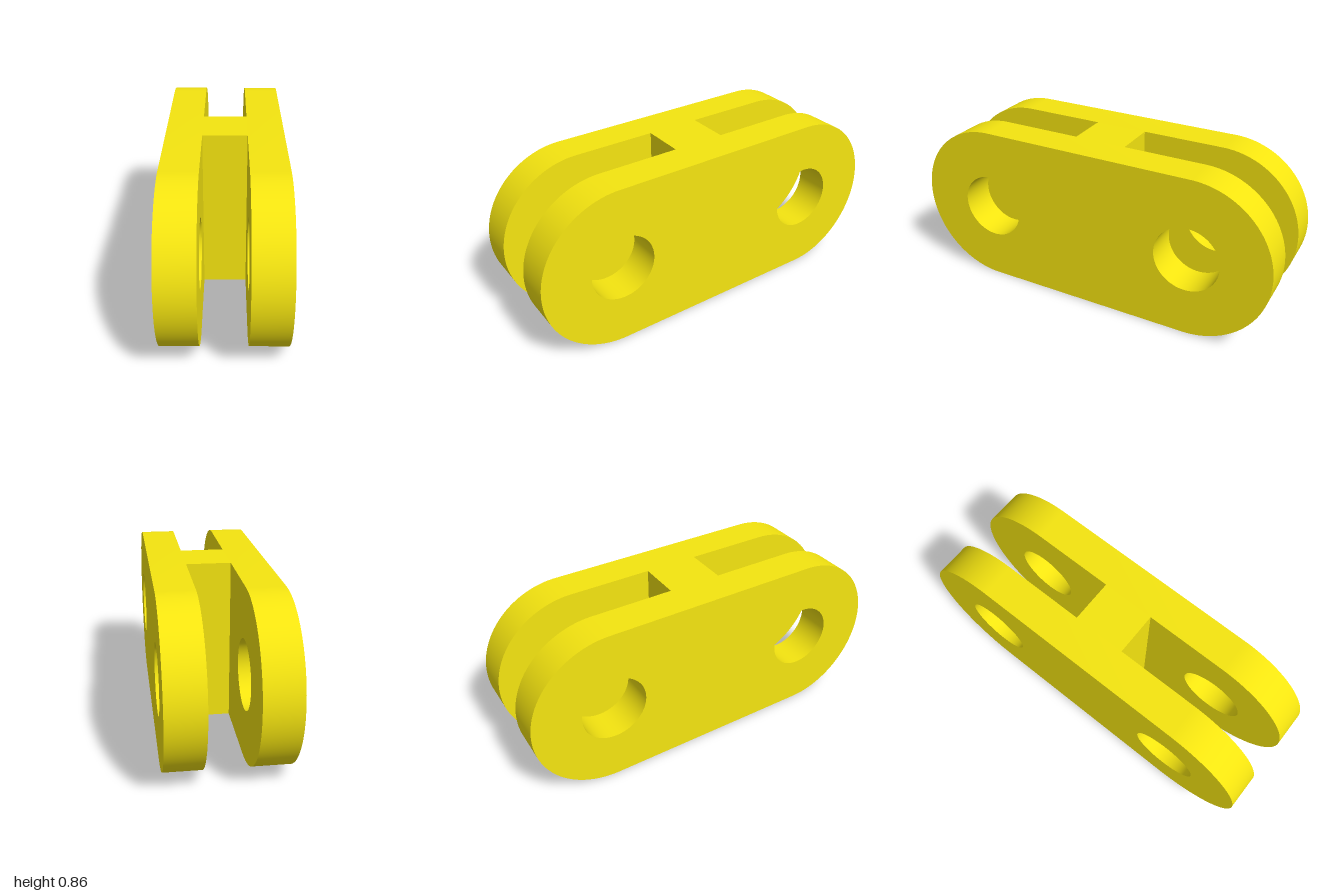
import * as THREE from 'three';
import { toCreasedNormals } from 'three/addons/utils/BufferGeometryUtils.js';

const RADIUS = 0.4285;      // rounded plate ends; plate height is twice this
const END_Z = 1 - RADIUS;   // centre of each rounded end
const HOLE_RADIUS = 0.173;
const INNER_X = 0.114;      // inner face of each side plate
const OUTER_X = 0.3;        // outer face of each side plate
const WEB_DEPTH = 0.28;

export function createModel() {
  const group = new THREE.Group();
  group.name = 'doubleClevisLink';
  const material = new THREE.MeshStandardMaterial({ color: 0xf5e510 });

  // Stadium outline with a pin hole concentric with each end
  const outline = new THREE.Shape();
  outline.absarc(END_Z, RADIUS, RADIUS, -Math.PI / 2, Math.PI / 2, false);
  outline.absarc(-END_Z, RADIUS, RADIUS, Math.PI / 2, Math.PI * 1.5, false);
  outline.closePath();
  for (const side of [-1, 1]) {
    const hole = new THREE.Path();
    hole.absarc(side * END_Z, RADIUS, HOLE_RADIUS, 0, Math.PI * 2, true);
    outline.holes.push(hole);
  }

  // Two side plates, extruded across x
  const extruded = new THREE.ExtrudeGeometry(outline, {
    depth: OUTER_X - INNER_X, bevelEnabled: false, curveSegments: 48,
  });
  extruded.rotateY(Math.PI / 2);
  const plateGeometry = toCreasedNormals(extruded, Math.PI / 6);
  for (const [name, x] of [['leftPlate', INNER_X], ['rightPlate', -OUTER_X]]) {
    const plate = new THREE.Mesh(plateGeometry, material);
    plate.name = name;
    plate.position.x = x;
    group.add(plate);
  }

  // Full-height web joining the plates
  const web = new THREE.Mesh(
    new THREE.BoxGeometry(INNER_X * 2, RADIUS * 2, WEB_DEPTH), material);
  web.name = 'centreWeb';
  web.position.y = RADIUS;
  group.add(web);

  return group;
}
